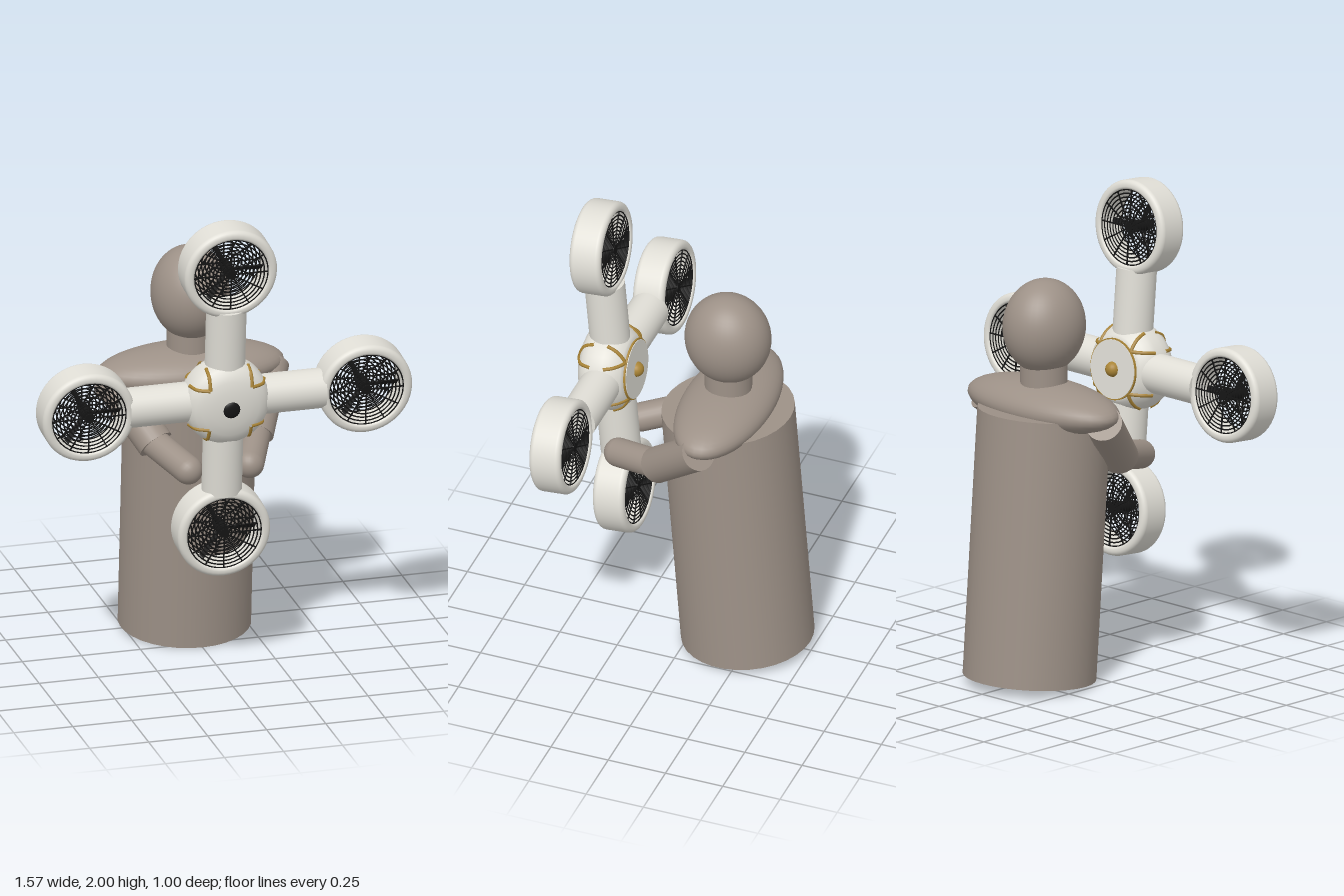
import * as THREE from 'three';
import { mergeGeometries } from 'three/addons/utils/BufferGeometryUtils.js';

const skin = new THREE.MeshStandardMaterial({ color: 0x9d9187 });
skin.name = 'taupe body';
const shell = new THREE.MeshStandardMaterial({ color: 0xe0ded6 });
shell.name = 'off-white shell';
const gold = new THREE.MeshStandardMaterial({ color: 0xa98436 });
gold.name = 'gold trim';
const black = new THREE.MeshStandardMaterial({ color: 0x151515, side: THREE.DoubleSide });
black.name = 'black fan';

const quarter = Math.PI / 2;

function add(parent, name, geometry, material, x = 0, y = 0, z = 0) {
  const mesh = new THREE.Mesh(geometry, material);
  mesh.name = name;
  mesh.position.set(x, y, z);
  parent.add(mesh);
  return mesh;
}

// Cylinder or capsule whose axis joins two points
function limb(parent, name, a, b, r, round) {
  const from = new THREE.Vector3(...a), to = new THREE.Vector3(...b);
  const dir = to.clone().sub(from), len = dir.length();
  const geo = round ? new THREE.CapsuleGeometry(r, len, 8, 24) : new THREE.CylinderGeometry(r, r, len, 24);
  const mesh = add(parent, name, geo, skin);
  mesh.position.copy(from).addScaledVector(dir, 0.5);
  mesh.quaternion.setFromUnitVectors(new THREE.Vector3(0, 1, 0), dir.normalize());
}

// Surface of revolution around z, outer profile given as [radius, z] with rising z
function turned(points) {
  return new THREE.LatheGeometry(points.map(p => new THREE.Vector2(...p)), 48).rotateX(quarter);
}

// Short cylinder along z
function disc(r, depth) {
  return new THREE.CylinderGeometry(r, r, depth, 40).rotateX(quarter);
}

function makeBody() {
  const body = new THREE.Group();
  body.name = 'figure';
  const torso = add(body, 'torso', new THREE.CylinderGeometry(0.273, 0.273, 1.117, 32), skin, 0, 0.58, -0.181);
  torso.rotation.x = 0.077;
  add(body, 'shoulders', new THREE.SphereGeometry(1, 40, 24), skin, 0, 1.163, -0.14).scale.set(0.395, 0.1, 0.187);
  add(body, 'neck', new THREE.CylinderGeometry(0.097, 0.097, 0.2, 32), skin, 0, 1.26, -0.14);
  add(body, 'head', new THREE.SphereGeometry(1, 40, 28), skin, 0, 1.49, -0.138).scale.set(0.161, 0.197, 0.18);
  for (const s of [-1, 1]) {
    limb(body, 'upperArm', [s * 0.342, 1.143, -0.14], [s * 0.21, 0.93, 0.09], 0.076, false);
    limb(body, 'forearm', [s * 0.22, 0.94, 0.08], [s * 0.13, 0.885, 0.29], 0.06, true);
  }
  return body;
}

// Wire guard: concentric rings and spokes merged into one geometry
function guardGeometry() {
  const parts = [];
  for (let i = 1; i <= 10; i++) parts.push(new THREE.TorusGeometry(i * 0.0156, 0.0031, 4, 36));
  for (let i = 0; i < 12; i++) {
    parts.push(new THREE.BoxGeometry(0.156, 0.005, 0.005).translate(0.078, 0, 0).rotateZ(i * Math.PI / 6));
  }
  return mergeGeometries(parts);
}

function bladeGeometry() {
  const shape = new THREE.Shape();
  shape.moveTo(0.015, -0.008);
  shape.lineTo(0.145, -0.015);
  shape.lineTo(0.15, 0.009);
  shape.lineTo(0.015, 0.008);
  const blade = new THREE.ExtrudeGeometry(shape, { depth: 0.006, bevelEnabled: false }).rotateX(0.5);
  return mergeGeometries([0, 1, 2].map(i => blade.clone().rotateZ(i * Math.PI * 2 / 3)));
}

// Rounded duct: bore, back lip, outer wall, front lip
function ductGeometry() {
  const c = 0.022, e = 0.012, R = 0.196, r = 0.157, h = 0.068;
  const profile = [];
  const corner = (x, z, rad, start) => {
    for (let i = 0; i <= 6; i++) {
      const a = start + quarter * i / 6;
      profile.push([x + rad * Math.cos(a), z + rad * Math.sin(a)]);
    }
  };
  corner(r + e, -h + e, e, -2 * quarter);
  corner(R - c, -h + c, c, -quarter);
  corner(R - c, h - c, c, 0);
  corner(r + e, h - e, e, quarter);
  profile.push(profile[0]);
  return turned(profile);
}

function makeFan(duct, guard, blades) {
  const fan = new THREE.Group();
  fan.name = 'fan';
  add(fan, 'duct', duct, shell);
  for (const s of [-1, 1]) {
    add(fan, 'guard', guard, black, 0, 0, s * 0.059);
    add(fan, 'guardCap', disc(0.019, 0.008), black, 0, 0, s * 0.059);
  }
  add(fan, 'blades', blades, black);
  add(fan, 'motor', disc(0.024, 0.07), black);
  return fan;
}

// Hub halves, from rim to centre, as [radius, depth]
const hubFront = [[0.181, 0.02], [0.178, 0.05], [0.168, 0.075], [0.148, 0.093], [0.12, 0.106], [0.08, 0.115], [0.04, 0.119], [0, 0.12]];
const hubBack = [[0.181, 0.02], [0.175, 0.04], [0.16, 0.066], [0.14, 0.086], [0.12, 0.098], [0, 0.1]];

// Depth of a hub half at a given radius
function hubDepth(half, r) {
  const i = half.findIndex(p => p[0] <= r);
  if (i < 1) return half[0][1];
  const [r0, z0] = half[i - 1], [r1, z1] = half[i];
  return z0 + (z1 - z0) * (r - r0) / (r1 - r0);
}

function makeDrone() {
  const drone = new THREE.Group();
  drone.name = 'drone';
  drone.position.set(0, 1.215, 0.365);
  drone.rotation.x = 0.087;

  // Hub with a domed front and a flat back plate
  const back = hubBack.map(([r, z]) => [r, -z]).reverse();
  add(drone, 'hub', turned([...back, ...hubFront]), shell);
  add(drone, 'lens', new THREE.SphereGeometry(0.036, 24, 16), black, 0, 0, 0.117).scale.z = 0.35;
  add(drone, 'backPlateRim', disc(0.128, 0.008), gold, 0, 0, -0.1);
  add(drone, 'backPlate', disc(0.123, 0.012), shell, 0, 0, -0.101);
  add(drone, 'backKnob', new THREE.SphereGeometry(0.032, 24, 16), gold, 0, 0, -0.103);

  // Gold trim angles lying on the hub between the arms
  for (const [half, side] of [[hubFront, 1], [hubBack, -1]]) {
    const path = [0, 1, 2, 3, 4].map(i => {
      const y = 0.088 + i * 0.0172;
      return [0.088, y, side * hubDepth(half, Math.hypot(0.088, y))];
    });
    for (const sx of [-1, 1]) for (const sy of [-1, 1]) for (const swap of [false, true]) {
      const pts = path.map(([x, y, z]) => new THREE.Vector3(sx * (swap ? y : x), sy * (swap ? x : y), z));
      add(drone, 'hubTrim', new THREE.TubeGeometry(new THREE.CatmullRomCurve3(pts), 16, 0.008, 6), gold);
    }
  }

  // Four arms, each ending in a ducted fan
  const duct = ductGeometry(), guard = guardGeometry(), blades = bladeGeometry();
  for (let i = 0; i < 4; i++) {
    const a = i * quarter, x = Math.cos(a), y = Math.sin(a);
    const arm = add(drone, 'arm', new THREE.CylinderGeometry(0.083, 0.083, 0.32, 32), shell, x * 0.255, y * 0.255, 0);
    arm.rotation.z = a - quarter;
    const fan = makeFan(duct, guard, blades);
    fan.position.set(x * 0.587, y * 0.587, 0);
    drone.add(fan);
  }
  return drone;
}

export function createModel() {
  const model = new THREE.Group();
  model.name = 'figureHoldingDrone';
  model.add(makeBody(), makeDrone());
  return model;
}
